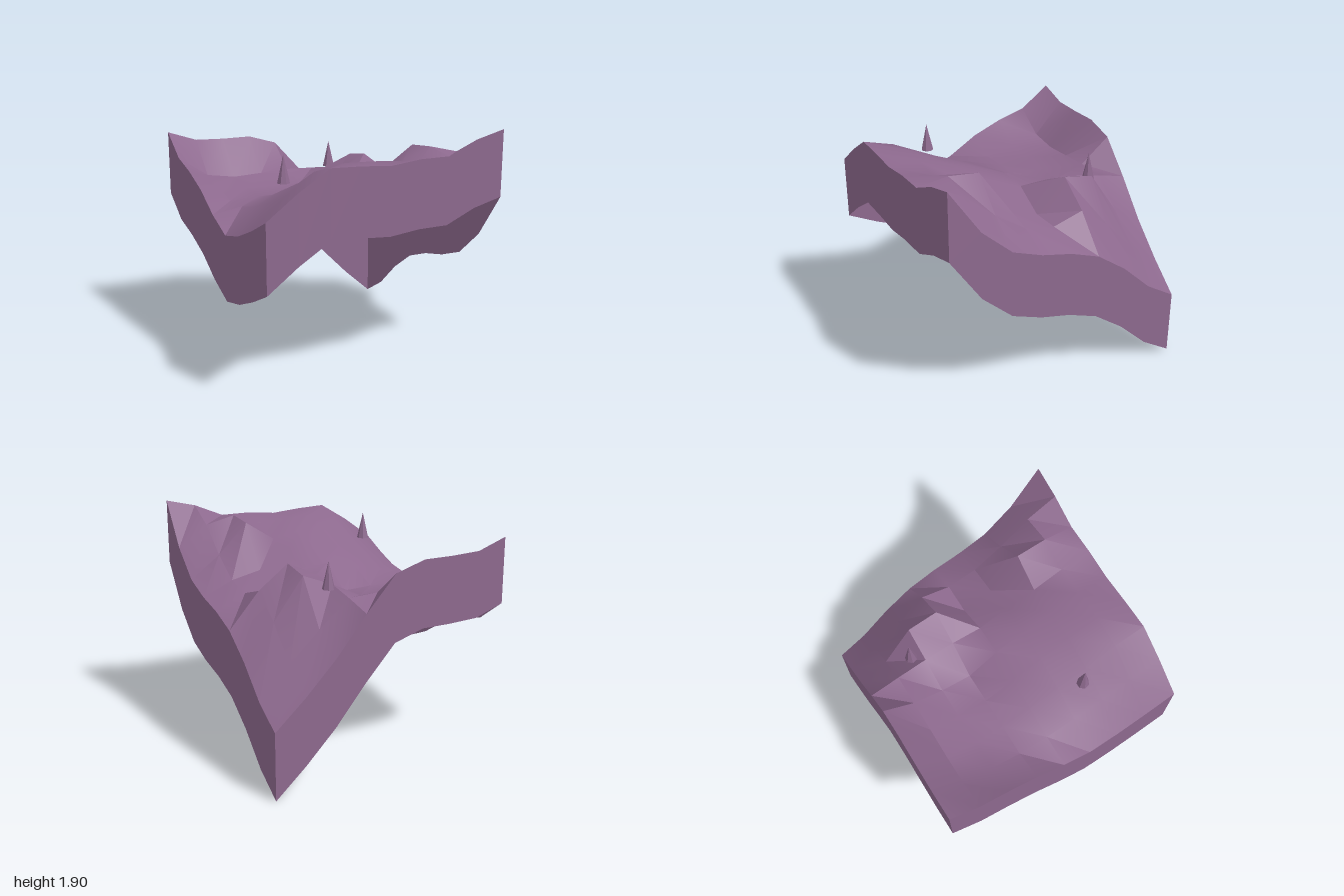
import * as THREE from 'three';
import { toCreasedNormals } from 'three/addons/utils/BufferGeometryUtils.js';

const N = 8;        // cells per side
const STEP = 0.25;  // cell size
const SKIRT = 0.53; // depth of the side walls

// Ground heights: one row per z from back (-1) to front (+1), x from -1 to +1
const HEIGHTS = [
  [1.74, 1.655, 1.645, 1.645, 1.57, 1.30, 1.00, 0.75, 0.53],
  [1.56, 1.39, 1.35, 1.36, 1.37, 1.36, 1.15, 0.92, 0.68],
  [1.49, 1.33, 1.30, 1.29, 1.29, 1.41, 1.505, 1.18, 0.91],
  [1.39, 1.27, 1.28, 1.28, 1.27, 1.435, 1.55, 1.365, 1.085],
  [1.24, 1.28, 1.34, 1.40, 1.45, 1.43, 1.29, 1.29, 1.175],
  [1.135, 1.33, 1.44, 1.51, 1.55, 1.52, 1.395, 1.34, 1.23],
  [1.19, 1.41, 1.54, 1.61, 1.63, 1.585, 1.745, 1.50, 1.32],
  [1.29, 1.50, 1.67, 1.71, 1.70, 1.68, 1.77, 1.71, 1.54],
  [1.41, 1.59, 1.74, 1.73, 1.71, 1.735, 1.735, 1.84, 1.90],
];

const at = (i, j) => [-1 + i * STEP, HEIGHTS[j][i], -1 + j * STEP];

// Rolling ground: a grid plane lifted to the heights, smooth with sharp creases
function groundGeometry() {
  const geo = new THREE.PlaneGeometry(2, 2, N, N).rotateX(-Math.PI / 2);
  const pos = geo.attributes.position;
  for (let j = 0; j <= N; j++) {
    for (let i = 0; i <= N; i++) pos.setY(j * (N + 1) + i, HEIGHTS[j][i]);
  }
  return toCreasedNormals(geo, 0.5);
}

// Side wall hanging from one edge; point(k) walks the edge with the outside on its right
function wallGeometry(point) {
  const verts = [];
  const index = [];
  for (let k = 0; k <= N; k++) {
    const [x, y, z] = point(k);
    verts.push(x, y, z, x, y - SKIRT, z);
    if (k < N) {
      const a = k * 2;
      index.push(a, a + 1, a + 2, a + 1, a + 3, a + 2);
    }
  }
  const geo = new THREE.BufferGeometry();
  geo.setAttribute('position', new THREE.Float32BufferAttribute(verts, 3));
  geo.setIndex(index);
  geo.computeVertexNormals();
  return geo;
}

export function createModel() {
  const group = new THREE.Group();
  group.name = 'terrainTile';
  const earth = new THREE.MeshStandardMaterial({ color: 0x8d698e, side: THREE.DoubleSide });
  earth.name = 'dusty purple';

  const add = (name, geo) => {
    const mesh = new THREE.Mesh(geo, earth);
    mesh.name = name;
    group.add(mesh);
    return mesh;
  };

  add('ground', groundGeometry());

  // Four open-bottomed side walls
  add('frontWall', wallGeometry((k) => at(k, N)));
  add('leftWall', wallGeometry((k) => at(N, N - k)));
  add('backWall', wallGeometry((k) => at(N - k, 0)));
  add('rightWall', wallGeometry((k) => at(0, k)));

  // Two small faceted spikes standing on the ground
  const spikes = [[-0.585, 1.53, 0.415], [0.33, 1.4, -0.585]];
  spikes.forEach(([x, base, z], i) => {
    const geo = toCreasedNormals(new THREE.ConeGeometry(0.05, 0.22, 7), 0.3);
    add('spike' + (i + 1), geo).position.set(x, base + 0.11, z);
  });

  return group;
}
